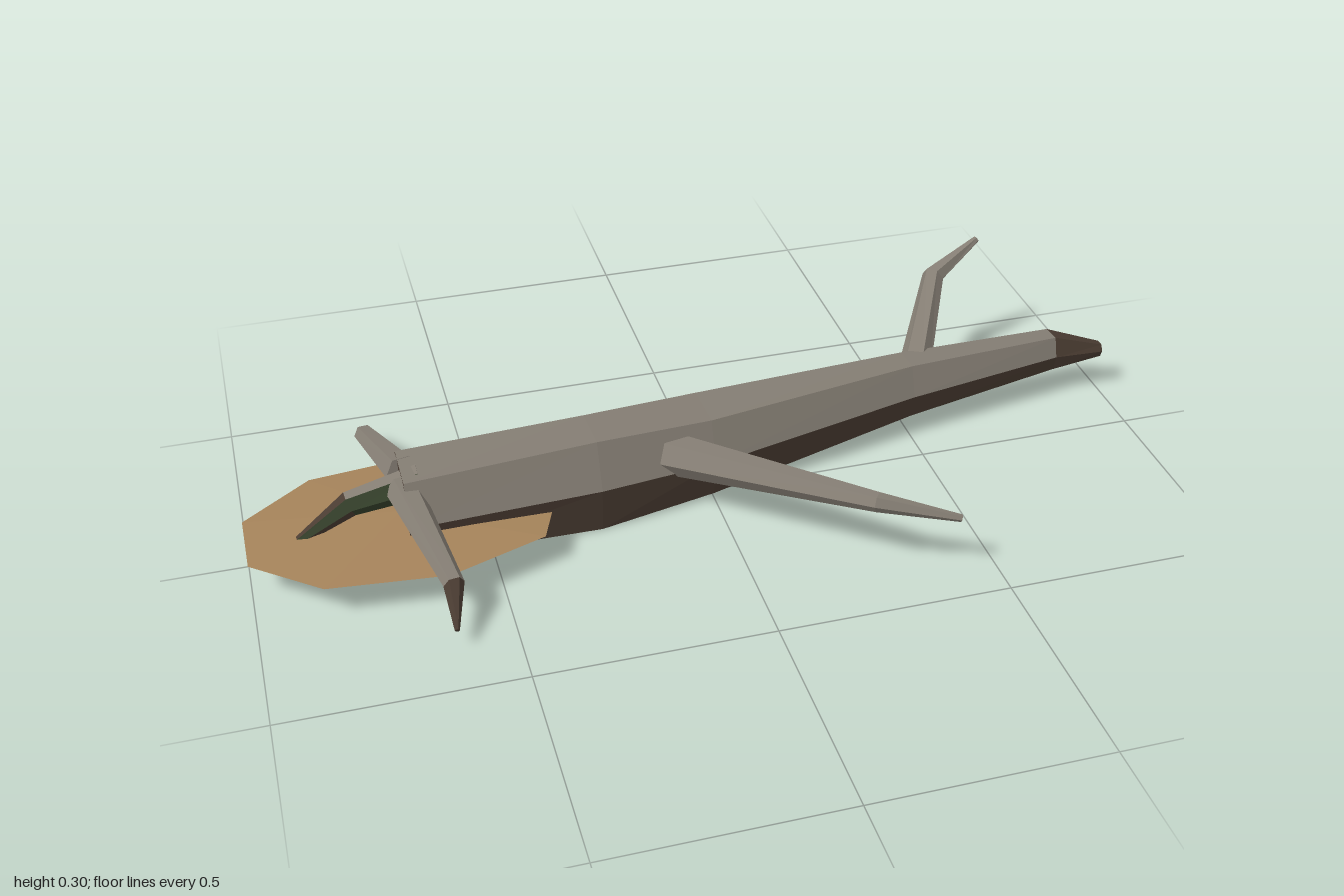
import * as THREE from 'three';

const mat = (name, color, extra = {}) => {
  const m = new THREE.MeshStandardMaterial({ color, flatShading: true, ...extra });
  m.name = name;
  return m;
};

// Joins six-sided rings; paint(segment, side) picks the colour.
// Sides: 0 upper right, 1 top, 2 upper left, 3 lower left, 4 bottom, 5 lower right.
function loft(name, rings, mats, paint, capStart, capEnd) {
  const buckets = mats.map(() => []);
  const quad = (to, a, b, c, d) => to.push(...a, ...b, ...c, ...a, ...c, ...d);
  for (let i = 0; i < rings.length - 1; i++) {
    for (let k = 0; k < 6; k++) {
      const n = (k + 1) % 6, r = rings[i], s = rings[i + 1];
      quad(buckets[paint(i, k)], r[k], s[k], s[n], r[n]);
    }
  }
  const cap = (r, m) => {
    for (let k = 1; k < 5; k++) buckets[m].push(...r[0], ...r[k], ...r[k + 1]);
  };
  cap(rings[0], capStart);
  cap([...rings[rings.length - 1]].reverse(), capEnd);

  const geo = new THREE.BufferGeometry();
  geo.setAttribute('position', new THREE.Float32BufferAttribute(buckets.flat(), 3));
  let start = 0;
  buckets.forEach((b, m) => {
    if (b.length) geo.addGroup(start, b.length / 3, m);
    start += b.length / 3;
  });
  geo.computeVertexNormals();
  const mesh = new THREE.Mesh(geo, mats);
  mesh.name = name;
  return mesh;
}

// Hexagonal rings that follow a bent path of [x, y, z, radius].
function limbRings(path) {
  const pts = path.map(p => new THREE.Vector3(p[0], p[1], p[2]));
  return pts.map((p, i) => {
    const dir = pts[Math.min(i + 1, pts.length - 1)].clone().sub(pts[Math.max(i - 1, 0)]).normalize();
    const right = dir.clone().cross(new THREE.Vector3(0, 1, 0)).normalize();
    const up = right.clone().cross(dir);
    return Array.from({ length: 6 }, (_, k) => {
      const a = k * Math.PI / 3, r = path[i][3];
      return p.clone().addScaledVector(right, Math.cos(a) * r).addScaledVector(up, Math.sin(a) * r).toArray();
    });
  });
}

export function createModel() {
  const group = new THREE.Group();
  group.name = 'fallenTree';
  const BARK = 0, DARK = 1, MOSS = 2, WOOD = 3;
  const mats = [
    mat('grey bark', 0x857e74),
    mat('dark bark', 0x4a3c32),
    mat('moss', 0x36422c),
    mat('pale wood', 0xa5835a),
  ];

  // Trunk: x, then [z, y] of front, top front, top back, back, bottom back, bottom front
  const sections = [
    [-0.67, [0.105, 0.105], [0.07, 0.195], [-0.06, 0.19], [-0.09, 0.115], [-0.07, 0.03], [0.09, 0.015]],
    [-0.26, [0.085, 0.105], [0.045, 0.205], [-0.085, 0.19], [-0.11, 0.115], [-0.085, 0.025], [0.075, 0]],
    [0, [0.045, 0.1], [0.01, 0.19], [-0.12, 0.18], [-0.145, 0.11], [-0.11, 0.04], [0.03, 0.012]],
    [0.5, [-0.07, 0.11], [-0.095, 0.178], [-0.17, 0.17], [-0.19, 0.115], [-0.16, 0.065], [-0.08, 0.055]],
    [0.88, [-0.14, 0.11], [-0.155, 0.155], [-0.205, 0.15], [-0.215, 0.115], [-0.2, 0.085], [-0.15, 0.072]],
    [1, [-0.145, 0.103], [-0.152, 0.118], [-0.17, 0.118], [-0.178, 0.103], [-0.17, 0.087], [-0.152, 0.087]],
  ];
  const trunkRings = sections.map(([x, ...c]) => c.map(([z, y]) => [x, y, z]));
  const sidePaint = [BARK, BARK, BARK, MOSS, MOSS, DARK];
  group.add(loft('trunk', trunkRings, mats, (i, k) => (i === 4 ? DARK : sidePaint[k]), DARK, WOOD));

  // Branches with pale broken tips
  const branches = {
    frontBranch: [[-0.1, 0.128, 0.015, 0.047], [0.25, 0.173, 0.365, 0.021], [0.414, 0.137, 0.418, 0.008]],
    backBranch: [[0.53, 0.13, -0.155, 0.037], [0.655, 0.235, -0.375, 0.026], [0.78, 0.291, -0.422, 0.008]],
  };
  for (const [name, path] of Object.entries(branches)) {
    const mossy = name === 'frontBranch';
    group.add(loft(name, limbRings(path), mats,
      (i, k) => (mossy && i === 0 && k === 4 ? MOSS : BARK), BARK, WOOD));
  }

  // Roots: grey on top, mossy on one flank, dark toward the tip
  const roots = {
    endRoot: [[-0.63, 0.165, 0.025, 0.036], [-0.78, 0.132, 0.02, 0.027], [-0.93, 0.053, 0.045, 0.005]],
    frontRoot: [[-0.67, 0.16, 0.03, 0.038], [-0.61, 0.088, 0.285, 0.022], [-0.622, 0.043, 0.375, 0.005]],
    backRoot: [[-0.66, 0.16, -0.02, 0.038], [-0.715, 0.098, -0.28, 0.022], [-0.702, 0.043, -0.375, 0.005]],
  };
  for (const [name, path] of Object.entries(roots)) {
    const flank = name === 'backRoot' ? [DARK, MOSS] : [MOSS, DARK];
    group.add(loft(name, limbRings(path), mats, (i, k) => {
      if (i === 1) return k === 2 && name === 'endRoot' ? MOSS : DARK;
      if (k < 2) return BARK;
      if (k === 2) return name === 'endRoot' ? MOSS : BARK;
      return k === 3 ? flank[0] : flank[1];
    }, BARK, DARK));
  }

  // Soil patch around the roots: a shallow irregular fan
  const rim = [[-1, -0.055], [-0.85, -0.17], [-0.61, -0.197], [-0.4, -0.115], [-0.345, 0.02],
    [-0.4, 0.165], [-0.61, 0.24], [-0.86, 0.215], [-1, 0.1]];
  const soilGeo = new THREE.CircleGeometry(1, 9);
  const pos = soilGeo.attributes.position;
  pos.setXYZ(0, -0.68, 0.093, 0.02);
  // Rim runs the other way round so the fan faces up
  for (let i = 0; i <= 9; i++) {
    const [x, z] = rim[(9 - i) % 9];
    pos.setXYZ(i + 1, x, 0.075, z);
  }
  soilGeo.computeVertexNormals();
  const soil = new THREE.Mesh(soilGeo, mat('soil', 0xa5835a, { side: THREE.DoubleSide }));
  soil.name = 'soilPatch';
  group.add(soil);

  return group;
}
